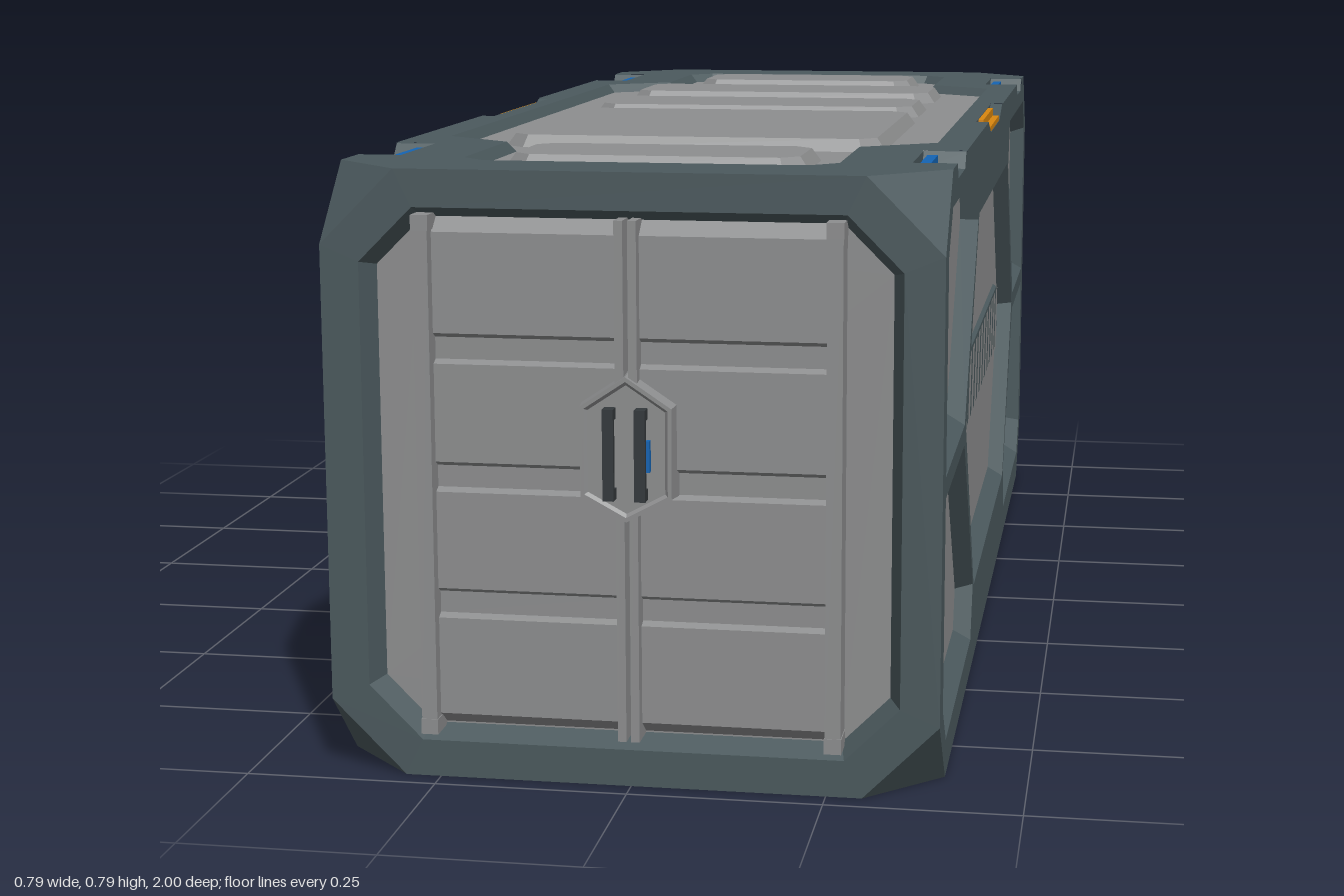
import * as THREE from 'three';

const mat = (name, color, side = THREE.FrontSide) => {
  const m = new THREE.MeshStandardMaterial({ color, side });
  m.name = name;
  return m;
};

export function createModel() {
  const frame = mat('slate frame', 0x4b595d);
  const panel = mat('grey panel', 0x8d8e8f);
  const dark = mat('dark metal', 0x34393c);
  const blue = mat('blue', 0x1464b4);
  const orange = mat('orange', 0xd8860f);

  // Half sizes of the body, corner cut, recess depth
  const X = 0.393, Y = 0.393, Z = 0.985, C = 0.097, D = 0.025;
  const model = new THREE.Group();
  model.name = 'cargoContainer';
  const body = new THREE.Group();
  body.name = 'body';
  body.position.set(0, Y, -0.015);
  model.add(body);

  const add = (parent, name, geo, material, x = 0, y = 0, z = 0) => {
    const m = new THREE.Mesh(geo, material);
    m.name = name;
    m.position.set(x, y, z);
    parent.add(m);
    return m;
  };
  const box = (parent, name, material, w, h, d, x, y, z) =>
    add(parent, name, new THREE.BoxGeometry(w, h, d), material, x, y, z);

  // ---- outline helpers
  const toV = (pts) => pts.map((p) => new THREE.Vector2(p[0], p[1]));
  const ccw = (pts) => (THREE.ShapeUtils.area(toV(pts)) < 0 ? [...pts].reverse() : pts);
  const turned = (half) => [...half, ...half.map(([u, v]) => [-u, -v])];
  const octagon = (w, h, c, cu = 0, cv = 0) =>
    turned([[w - c, -h], [w, c - h], [w, h - c], [w - c, h]]).map(([u, v]) => [u + cu, v + cv]);
  const inset = (pts, d) => pts.map((p, i) => {
    const a = pts[(i + pts.length - 1) % pts.length], b = pts[(i + 1) % pts.length];
    const normal = (s, e) => new THREE.Vector2(s[1] - e[1], e[0] - s[0]).normalize();
    const n = normal(a, p), m = normal(p, b), k = d / (1 + n.dot(m));
    return [p[0] + (n.x + m.x) * k, p[1] + (n.y + m.y) * k];
  });
  const flat = (pts, holes = []) => {
    const s = new THREE.Shape(toV(pts));
    s.holes = holes.map((h) => new THREE.Path(toV(h)));
    return new THREE.ShapeGeometry(s);
  };

  // Sloped rim from z0 to z1 closed by a flat face: a recess or a raised panel
  const relief = (parent, name, outline, d, z0, z1, rimMat, faceMat) => {
    const a = ccw(outline), b = inset(a, d), pos = [];
    a.forEach((p, i) => {
      const j = (i + 1) % a.length;
      const P = [...p, z0], Q = [...a[j], z0], R = [...b[j], z1], S = [...b[i], z1];
      pos.push(...P, ...Q, ...R, ...P, ...R, ...S);
    });
    const g = new THREE.BufferGeometry();
    g.setAttribute('position', new THREE.Float32BufferAttribute(pos, 3));
    g.computeVertexNormals();
    add(parent, name + 'Rim', g, rimMat);
    add(parent, name, flat(b), faceMat, 0, 0, z1);
  };

  // One side of the body, z pointing outwards
  const face = (name, pos, rx, ry) => {
    const g = new THREE.Group();
    g.name = name;
    g.position.set(...pos);
    g.rotation.set(rx, ry, 0);
    body.add(g);
    return g;
  };

  // ---- cut corners
  const corners = [];
  for (const sx of [-1, 1]) for (const sy of [-1, 1]) for (const sz of [-1, 1]) {
    const t = [[X - C, Y, Z], [X, Y - C, Z], [X, Y, Z - C]].map((p) => [p[0] * sx, p[1] * sy, p[2] * sz]);
    corners.push(...(sx * sy * sz > 0 ? t : t.reverse()).flat());
  }
  const cornerGeo = new THREE.BufferGeometry();
  cornerGeo.setAttribute('position', new THREE.Float32BufferAttribute(corners, 3));
  cornerGeo.computeVertexNormals();
  add(body, 'cutCorners', cornerGeo, frame);

  // Notches along the long top edges: centre, half top, half bottom, depth inwards
  const notches = [[-0.73, 0.085, 0.065, 0.058], [0, 0.185, 0.118, 0.02], [0.73, 0.085, 0.065, 0.058]];
  const ND = 0.022;

  // ---- long sides
  const quarter = [[0.937, 0.014], [0.937, 0.29], [0.882, 0.345], [0.425, 0.345], [0.39, 0.27], [0.612, 0.014]];
  const hexagon = turned([[0.37, -0.277], [0.583, 0], [0.37, 0.277]].slice(0, 2).concat([[0.37, 0.277]]))
    .filter((p, i, l) => l.findIndex((q) => q[0] === p[0] && q[1] === p[1]) === i);
  const sideOutline = [[C - Z, -Y], [Z - C, -Y], [Z, C - Y], [Z, Y - C], [Z - C, Y]];
  for (const [c, t, b] of [...notches].reverse())
    sideOutline.push([c + t, Y], [c + b, Y - ND], [c - b, Y - ND], [c - t, Y]);
  sideOutline.push([C - Z, Y], [-Z, Y - C], [-Z, C - Y]);

  for (const s of [1, -1]) {
    const g = face(s > 0 ? 'leftSide' : 'rightSide', [s * X, 0, 0], 0, s * Math.PI / 2);
    const holes = [ccw(hexagon)];
    for (const su of [1, -1]) for (const sv of [1, -1])
      holes.push(ccw(quarter.map(([u, v]) => [u * su, v * sv])));
    add(g, 'sideFrame', flat(sideOutline, holes), frame);
    holes.forEach((h) => relief(g, 'sidePanel', h, 0.017, 0, -D, frame, panel));

    // Striped strip in the middle
    relief(g, 'stripPlate', octagon(0.45, 0.057, 0.026), 0.004, -D, -D + 0.006, frame, frame);
    for (let i = -6; i <= 6; i++) {
      const u = i * 0.065;
      add(g, 'stripe', flat([[u - 0.032, -0.052], [u + 0.006, -0.052], [u + 0.032, 0.052], [u - 0.006, 0.052]]),
        panel, 0, 0, -D + 0.008);
    }

    // Notch linings with their coloured inserts
    for (const [c, t, b, depth] of notches) {
      const tray = new THREE.Shape(toV([[-t - 0.01, -ND - 0.01], [t + 0.01, -ND - 0.01], [t + 0.01, -0.001],
        [t, -0.001], [b, -ND], [-b, -ND], [-t, -0.001], [-t - 0.01, -0.001]]));
      add(g, 'notchLining', new THREE.ExtrudeGeometry(tray, { depth: depth - 0.001, bevelEnabled: false }),
        frame, c, Y, -depth);
      box(g, 'notchBack', frame, 2 * t, ND + 0.008, 0.008, c, Y - ND / 2 - 0.005, -depth - 0.004);
      if (c) {
        box(g, 'blueLatch', blue, 0.12, 0.018, 0.014, c, Y - ND + 0.009, -depth + 0.014);
      } else {
        box(g, 'orangeFloor', orange, 2 * b, 0.008, depth - 0.002, c, Y - ND + 0.004, -depth / 2 - 0.001);
        box(g, 'orangeBack', orange, 2 * b, ND - 0.002, 0.008, c, Y - ND / 2 - 0.001, -depth + 0.004);
      }
    }
  }

  // ---- roof and floor
  const roof = face('roof', [0, Y, 0], -Math.PI / 2, 0);
  const roofHalf = [[X - C, -Z], [X, C - Z]];
  for (const [c, t, , d] of notches) roofHalf.push([X, c - t], [X - d, c - t], [X - d, c + t], [X, c + t]);
  roofHalf.push([X, Z - C], [X - C, Z]);
  const roofHole = turned([[0.21, -0.867], [0.245, -0.832], [0.245, -0.61], [0.345, -0.535],
    [0.345, 0.535], [0.245, 0.61], [0.245, 0.832], [0.21, 0.867]]);
  add(roof, 'roofFrame', flat(turned(roofHalf), [roofHole]), frame);
  relief(roof, 'roofPanel', roofHole, 0.012, 0, -0.014, frame, panel);
  // Raised plates: half width, z start, z end
  for (const [w, z0, z1] of [[0.2, -0.845, -0.66], [0.265, -0.56, -0.355], [0.265, -0.257, -0.05],
    [0.27, 0.01, 0.525], [0.2, 0.62, 0.805]])
    relief(roof, 'roofPlate', octagon(w, (z1 - z0) / 2, 0.03, 0, -(z0 + z1) / 2 - 0.015), 0.012, -0.014, 0.003, panel, panel);

  add(face('underside', [0, -Y, 0], Math.PI / 2, 0), 'floorPlate', flat(octagon(X, Z, C)), frame);

  // ---- both ends
  const endHole = octagon(0.343, 0.345, 0.07);
  const front = face('front', [0, 0, Z], 0, 0);
  const back = face('back', [0, 0, -Z], 0, Math.PI);
  for (const g of [front, back]) {
    add(g, 'endFrame', flat(octagon(X, Y, C), [endHole]), frame);
    relief(g, 'endPanel', endHole, 0.015, 0, -0.03, frame, panel);
  }
  for (const s of [1, -1])
    relief(back, 'backPlate', octagon(0.27, 0.125, 0.03, 0, s * 0.155), 0.014, -0.03, -0.012, panel, panel);

  // ---- doors: grooved profile drawn in (z, y) and swept across
  const F = -0.006, G = -0.016;
  const profile = [[-0.03, 0.065], [F, 0.083]];
  for (const y of [0.215, 0.38, 0.545]) profile.push([F, y - 0.005], [G, y], [G, y + 0.028], [F, y + 0.034]);
  profile.push([F, 0.707], [-0.03, 0.727]);
  const doorGeo = new THREE.ExtrudeGeometry(new THREE.Shape(toV(profile)), { depth: 0.236, bevelEnabled: false });
  doorGeo.translate(0, -Y, -0.118);
  doorGeo.rotateY(-Math.PI / 2);
  for (const s of [1, -1]) {
    add(front, 'door', doorGeo, panel, s * 0.132, 0, 0);
    box(front, 'outerDoorBar', panel, 0.02, 0.665, 0.042, s * 0.26, 0.002, -0.009);
    box(front, 'innerDoorBar', panel, 0.011, 0.665, 0.042, s * 0.0085, 0.002, -0.009);
    for (const v of [-1, 1])
      box(front, 'barCap', panel, 0.022, 0.02, 0.044, s * 0.26, 0.002 + v * 0.325, -0.009);
    // Handles
    box(front, 'handleGrip', dark, 0.014, 0.116, 0.008, s * 0.02, 0.437 - Y, 0.026);
    for (const v of [-1, 1])
      box(front, 'handlePost', dark, 0.014, 0.014, 0.02, s * 0.02, 0.437 - Y + v * 0.051, 0.014);
  }
  box(front, 'handleLight', blue, 0.005, 0.04, 0.014, 0.0285, 0.435 - Y, 0.015);

  // Lock plate with a raised rim around a shallow well
  const lock = [[0, 0.344], [0.063, 0.378], [0.063, 0.498], [0, 0.54], [-0.063, 0.498], [-0.063, 0.378]]
    .map(([u, v]) => [u, v - Y]);
  const rim = inset(lock, 0.005), well = inset(lock, 0.01);
  relief(front, 'lockEdge', lock, 0.005, -0.03, 0.017, panel, mat('grey panel', 0x8d8e8f));
  front.remove(front.getObjectByName('lockEdge'));
  add(front, 'lockRim', flat(rim, [well]), panel, 0, 0, 0.017);
  relief(front, 'lockWell', well, 0.004, 0.017, 0.0125, panel, panel);

  return model;
}
